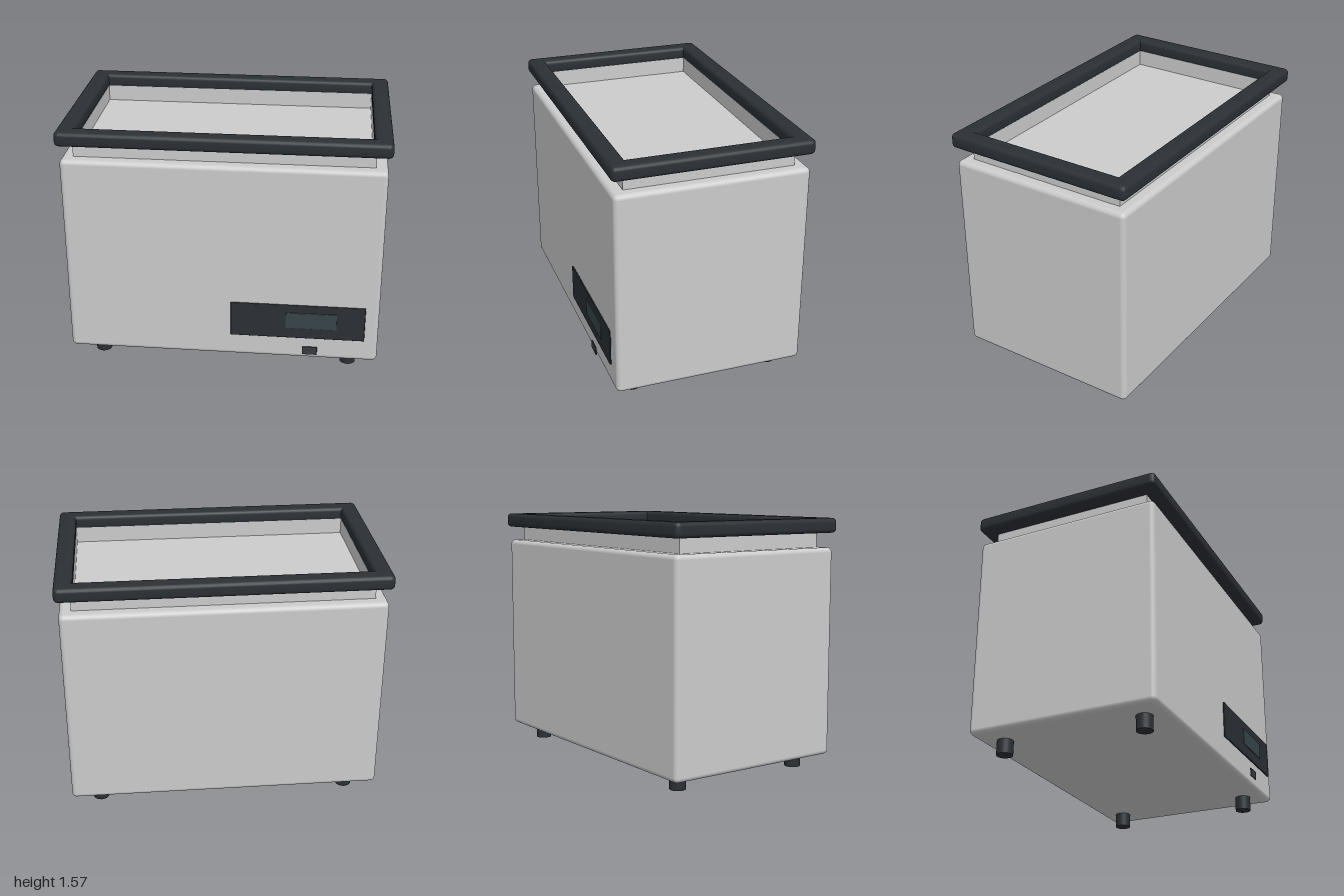
import * as THREE from 'three';
import { toCreasedNormals } from 'three/addons/utils/BufferGeometryUtils.js';
import { RoundedBoxGeometry } from 'three/addons/geometries/RoundedBoxGeometry.js';

const CZ = -0.005; // depth centre of the housing

function rect(target, w, d) {
  target.moveTo(-w, -d);
  target.lineTo(w, -d);
  target.lineTo(w, d);
  target.lineTo(-w, d);
  target.closePath();
  return target;
}

function roundedRect(w, d, r) {
  const s = new THREE.Shape();
  s.absarc(w - r, d - r, r, 0, Math.PI / 2);
  s.absarc(-w + r, d - r, r, Math.PI / 2, Math.PI);
  s.absarc(-w + r, -d + r, r, Math.PI, Math.PI * 1.5);
  s.absarc(w - r, -d + r, r, Math.PI * 1.5, Math.PI * 2);
  s.closePath();
  return s;
}

// Horizontal ring between y0 and y1, with softened edges when bevel > 0
function ringGeometry(outer, hole, y0, y1, bevel) {
  outer.holes.push(hole);
  const geo = new THREE.ExtrudeGeometry(outer, {
    depth: y1 - y0 - 2 * bevel,
    bevelEnabled: bevel > 0,
    bevelSize: bevel,
    bevelThickness: bevel,
    bevelOffset: -bevel,
    bevelSegments: 5,
    curveSegments: 6,
  });
  geo.rotateX(-Math.PI / 2);
  geo.translate(0, y0 + bevel, CZ);
  return toCreasedNormals(geo, 0.6);
}

export function createModel() {
  const group = new THREE.Group();
  const grey = new THREE.MeshStandardMaterial({ color: 0xcccccc });
  const dark = new THREE.MeshStandardMaterial({ color: 0x2b3035 });
  const glass = new THREE.MeshStandardMaterial({ color: 0x37454a });
  const button = new THREE.MeshStandardMaterial({ color: 0x383b42 });

  const add = (name, geo, mat, x = 0, y = 0, z = 0) => {
    const mesh = new THREE.Mesh(geo, mat);
    mesh.name = name;
    mesh.position.set(x, y, z);
    group.add(mesh);
    return mesh;
  };

  // Main housing with softly rounded edges
  add('housing', new RoundedBoxGeometry(1.96, 1.298, 1.194, 4, 0.03), grey, 0, 0.739, CZ);

  // Thin collar rising from the housing to the rim
  add('collar', ringGeometry(
    rect(new THREE.Shape(), 0.907, 0.522), rect(new THREE.Path(), 0.892, 0.505), 1.38, 1.49, 0), grey);

  // Dark padded rim around the opening
  add('rim', ringGeometry(
    roundedRect(1, 0.612, 0.03), rect(new THREE.Path(), 0.89, 0.502), 1.478, 1.568, 0.025), dark);

  // Control panel, display and switch on the front
  add('controlPanel', new RoundedBoxGeometry(0.84, 0.235, 0.01, 2, 0.004), dark, 0.475, 0.364, 0.605);
  add('display', new RoundedBoxGeometry(0.32, 0.11, 0.008, 2, 0.003), glass, 0.56, 0.373, 0.61);
  add('powerSwitch', new RoundedBoxGeometry(0.094, 0.056, 0.008, 2, 0.003), button, 0.556, 0.16, 0.612);

  // Four round feet
  for (const x of [-0.8, 0.8]) {
    for (const z of [-0.452, 0.452]) {
      add('foot', new THREE.CylinderGeometry(0.05, 0.05, 0.1, 24), dark, x, 0.05, z + CZ);
    }
  }

  return group;
}
